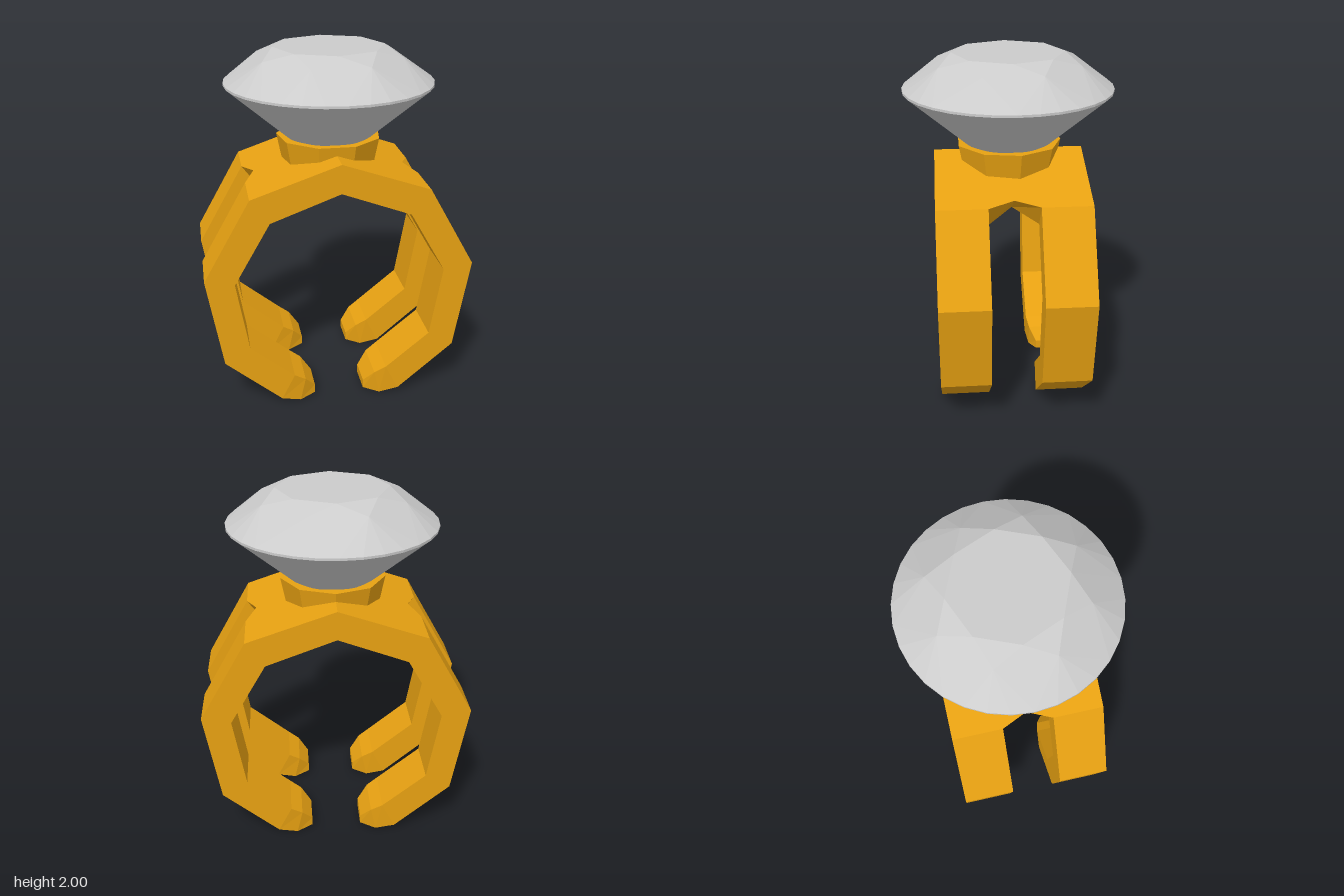
import * as THREE from 'three';

const gold = new THREE.MeshStandardMaterial({ color: 0xe7a112, flatShading: true });
const grey = new THREE.MeshStandardMaterial({ color: 0xcccccc, flatShading: true });

function toMesh(triangles, material, name) {
  const geometry = new THREE.BufferGeometry().setFromPoints(triangles.flat());
  geometry.computeVertexNormals();
  const mesh = new THREE.Mesh(geometry, material);
  mesh.name = name;
  return mesh;
}

// Skin a row of closed cross-sections, cap both ends and turn the faces outward
function loft(sections, material, name) {
  const tris = [];
  const n = sections[0].length;
  for (let i = 0; i + 1 < sections.length; i++) {
    const a = sections[i], b = sections[i + 1];
    for (let j = 0; j < n; j++) {
      const k = (j + 1) % n;
      tris.push([a[j], a[k], b[k]], [a[j], b[k], b[j]]);
    }
  }
  const first = sections[0], last = sections[sections.length - 1];
  THREE.ShapeUtils.triangulateShape; // caps are simple strips, see below
  for (let j = 0; j < n / 2 - 1; j++) {
    const p = j, q = j + 1, r = n - 2 - j, s = n - 1 - j;
    tris.push([first[p], first[r], first[q]], [first[p], first[s], first[r]]);
    tris.push([last[p], last[q], last[r]], [last[p], last[r], last[s]]);
  }
  const volume = tris.reduce((v, [a, b, c]) => v + a.dot(b.clone().cross(c)), 0);
  if (volume < 0) tris.forEach((t) => t.reverse());
  return toMesh(tris, material, name);
}

// Open band: outer x, outer y, inner x, inner y, half width
const bandProfile = [
  [0, 1.45, 0, 1.285, 0.14],
  [0.495, 1.28, 0.39, 1.14, 0.14],
  [0.755, 0.82, 0.59, 0.79, 0.14],
  [0.665, 0.3, 0.52, 0.385, 0.14],
  [0.345, 0.03, 0.27, 0.18, 0.14],
  [0.235, 0.0, 0.205, 0.138, 0.125],
  [0.145, 0.015, 0.145, 0.067, 0.085],
];

function createBand(z, name) {
  const section = ([ox, oy, ix, iy, w], side) => [
    new THREE.Vector3(side * ox, oy, z + w),
    new THREE.Vector3(side * ox, oy, z - w),
    new THREE.Vector3(side * ix, iy, z - w),
    new THREE.Vector3(side * ix, iy, z + w),
  ];
  const left = bandProfile.map((p) => section(p, 1));
  const right = bandProfile.slice(1).map((p) => section(p, -1));
  return loft([...right.reverse(), ...left], gold, name);
}

// Roof-shaped plate joining the bands, with a V notch at each end
function createBridge() {
  const section = (z, ox, oy, ix, iy) => [
    [-ox, oy], [0, 1.45], [ox, oy], [ix, iy], [0, 1.285], [-ix, iy],
  ].map(([x, y]) => new THREE.Vector3(x, y, z));
  return loft([
    section(-0.14, 0.495, 1.28, 0.39, 1.14),
    section(0, 0.437, 1.3, 0.256, 1.19),
    section(0.14, 0.495, 1.28, 0.39, 1.14),
  ], gold, 'bridge');
}

// Brilliant cut: table, crown, girdle and pavilion facets, repeated eight times
function createGem() {
  const centre = new THREE.Vector3(0, 1.75, 0);
  const step = Math.PI / 16;
  const at = (i, r, y) => new THREE.Vector3(r * Math.sin(i * step), y, r * Math.cos(i * step));
  const tris = [];
  const add = (a, b, c) => {
    const normal = b.clone().sub(a).cross(c.clone().sub(a));
    tris.push(normal.dot(a.clone().sub(centre)) > 0 ? [a, b, c] : [a, c, b]);
  };
  const table = (i) => at(i, 0.312, 2);
  const star = (i) => at(i, 0.415, 1.95);
  const upper = (i) => at(i, 0.587, 1.81);
  const lower = (i) => at(i, 0.587, 1.797);
  const low = (i) => at(i, 0.13, 1.4);
  const top = new THREE.Vector3(0, 2, 0), culet = new THREE.Vector3(0, 1.295, 0);

  for (let i = 0; i < 32; i += 4) {
    const mid = i + 2, next = i + 4, prev = i - 2;
    add(top, table(i), table(next));
    add(table(i), star(mid), table(next));
    // crown and pavilion kites
    add(table(i), star(prev), upper(i));
    add(table(i), star(mid), upper(i));
    add(culet, low(prev), lower(i));
    add(culet, low(mid), lower(i));
    // slim facets along the girdle
    for (let j = i; j < next; j++) {
      add(star(mid), upper(j), upper(j + 1));
      add(low(mid), lower(j), lower(j + 1));
      add(upper(j), lower(j), lower(j + 1));
      add(upper(j), lower(j + 1), upper(j + 1));
    }
  }
  return toMesh(tris, grey, 'gem');
}

export function createModel() {
  const model = new THREE.Group();
  model.name = 'ring';
  model.add(createBand(0.28, 'frontBand'), createBand(-0.28, 'backBand'), createBridge());

  // Nine-sided cup that holds the gem
  const setting = new THREE.Mesh(new THREE.CylinderGeometry(0.3, 0.262, 0.19, 9), gold);
  setting.name = 'setting';
  setting.position.y = 1.405;
  setting.rotation.y = Math.PI;
  model.add(setting, createGem());
  return model;
}
